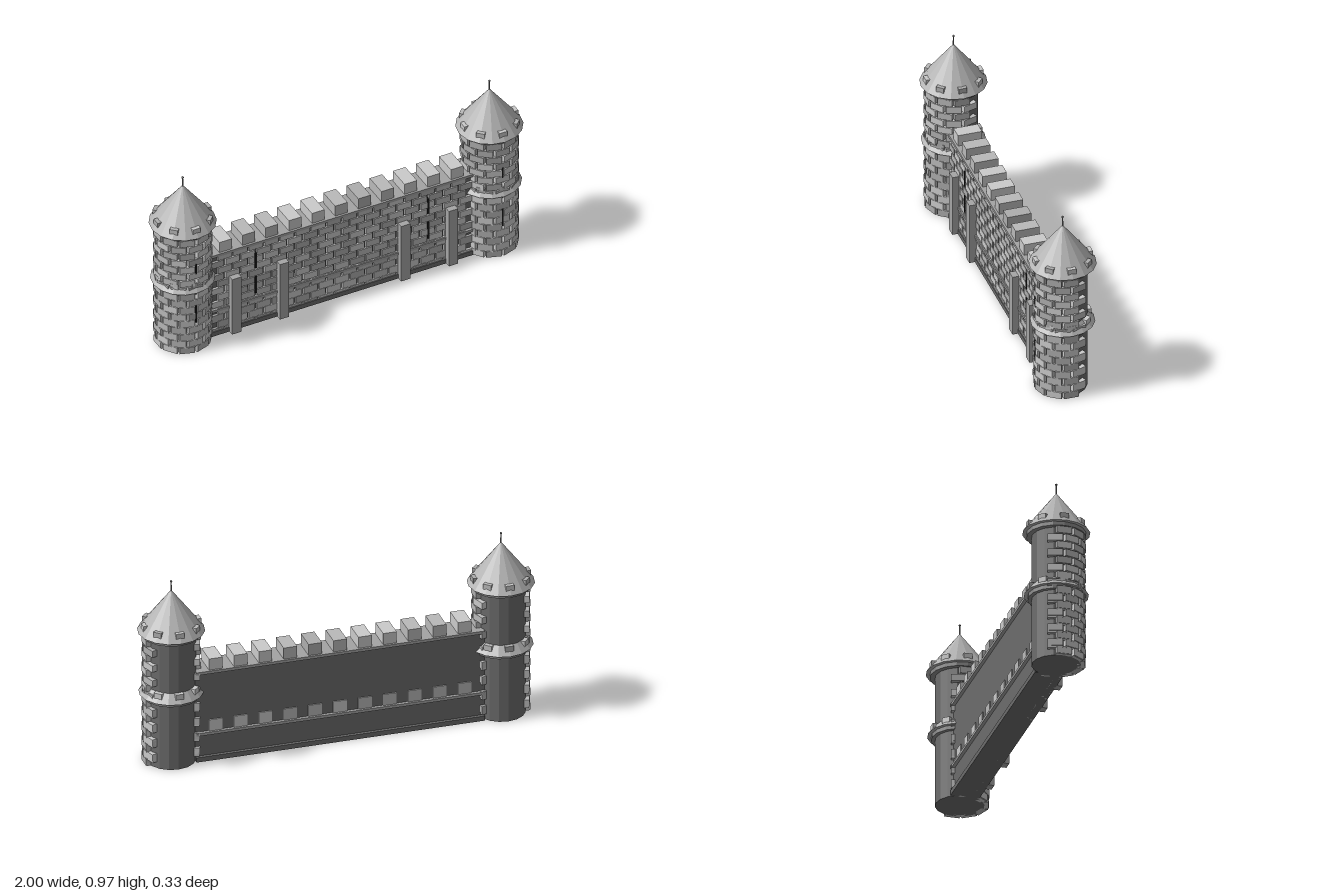
import * as THREE from 'three';
import { mergeGeometries } from 'three/addons/utils/BufferGeometryUtils.js';

const paint = (color) => new THREE.MeshStandardMaterial({ color, flatShading: true });
const core = paint(0x6c6c6c), trim = paint(0x8c8c8c), ledge = paint(0xa4a4a4);
const roof = paint(0xb4b4b4), pier = paint(0xa6a6a6), slit = paint(0x1c1c1c);
const stones = [0xaeaeae, 0xbababa, 0xc8c8c8].map(paint);
const ROW = 0.04, BRICK_H = 0.035, BRICK_W = 0.075;

let seed = 7;
const random = () => (seed = (seed * 16807) % 2147483647) / 2147483647;

function add(parent, name, material, geometry, x = 0, y = 0, z = 0) {
  const mesh = new THREE.Mesh(geometry, material);
  mesh.name = name;
  mesh.position.set(x, y, z);
  parent.add(mesh);
}

// Spreads blocks over the stone shades, one mesh per shade
function addStones(parent, name, list) {
  const piles = stones.map(() => []);
  for (const stone of list) piles[Math.floor(random() * piles.length)].push(stone);
  piles.forEach((pile, i) => {
    if (pile.length) add(parent, name, stones[i], mergeGeometries(pile));
  });
}

// Box given by its limits
function block(x0, x1, y0, y1, z0, z1) {
  return new THREE.BoxGeometry(x1 - x0, y1 - y0, z1 - z0)
    .translate((x0 + x1) / 2, (y0 + y1) / 2, (z0 + z1) / 2);
}

// Block standing on a circle, its outer face at radius r, angle from +z
function radialBlock(w, y0, y1, d, r, degrees) {
  return block(-w / 2, w / 2, y0, y1, r - d, r).rotateY(THREE.MathUtils.degToRad(degrees));
}

// Bottom and top of a brick row, kept above the ground
function rowSpan(i, drop) {
  const y = i * ROW + 0.0025 - drop;
  return [Math.max(0, y), y + BRICK_H];
}

// Staggered bricks around the front of a tower
function towerBricks(rows, r, drop) {
  const list = [];
  for (let i = 0; i < rows; i++) {
    const limit = i % 2 ? 108 : 90;
    for (let a = -limit; a <= limit; a += 36)
      list.push(radialBlock(BRICK_W, ...rowSpan(i, drop), 0.035, r, a));
  }
  return list;
}

// Staggered bricks on the wall face
function wallBricks(rows, front, drop) {
  const list = [];
  for (let i = 0; i < rows; i++) {
    for (let x = i % 2 ? -0.6375 : -0.68; x < 0.7; x += 0.085)
      list.push(block(x - BRICK_W / 2, x + BRICK_W / 2, ...rowSpan(i, drop), 0.03, front));
  }
  return list;
}

// Conical roof or skirt with its collar and ring of small blocks
function crown(parent, prefix, y, baseR, topR, h) {
  const collarR = baseR * 0.88, blockR = baseR * 0.89;
  add(parent, prefix + 'Collar', trim, new THREE.CylinderGeometry(collarR, collarR, 0.02, 16), 0, y - 0.01, 0);
  add(parent, prefix + 'Cone', roof, new THREE.CylinderGeometry(topR, baseR, h, 16), 0, y + h / 2, 0);
  const blocks = [];
  for (let a = 0; a < 360; a += 45)
    blocks.push(radialBlock(0.042, y + 0.019, y + 0.047, 0.027, blockR, a));
  addStones(parent, prefix + 'Blocks', blocks);
}

function makeTower(x) {
  const tower = new THREE.Group();
  tower.name = x > 0 ? 'leftTower' : 'rightTower';
  tower.position.x = x;
  add(tower, 'towerCore', core, new THREE.CylinderGeometry(0.12, 0.12, 0.69, 16), 0, 0.345, 0);
  addStones(tower, 'towerBricks', towerBricks(17, 0.139, 0));
  addStones(tower, 'towerInnerBricks', towerBricks(9, 0.136, 0.01));
  crown(tower, 'middleRing', 0.368, 0.158, 0.118, 0.048);
  crown(tower, 'roof', 0.70, 0.165, 0, 0.215);
  // Roof finial
  add(tower, 'finialPole', trim, new THREE.CylinderGeometry(0.003, 0.004, 0.055, 8), 0, 0.93, 0);
  add(tower, 'finialBall', trim, new THREE.SphereGeometry(0.006, 8, 6), 0, 0.96, 0);
  // Arrow slits
  for (const [y0, y1] of [[0.18, 0.28], [0.47, 0.53]])
    add(tower, 'towerSlit', slit, block(-0.004, 0.004, y0, y1, 0.1, 0.141));
  return tower;
}

// Ledge with a row of merlons on top
function parapet(parent, prefix, y) {
  add(parent, prefix + 'Ledge', ledge, block(-0.73, 0.73, y - 0.015, y, -0.077, 0.067));
  const list = [];
  for (let i = -5; i <= 5; i++)
    list.push(block(i * 0.126 - 0.034, i * 0.126 + 0.034, y - 0.005, y + 0.06, -0.066, 0.056));
  addStones(parent, prefix + 'Merlons', list);
}

function makeWall() {
  const wall = new THREE.Group();
  wall.name = 'curtainWall';
  add(wall, 'wallCore', core, block(-0.74, 0.74, 0, 0.48, -0.06, 0.05));
  addStones(wall, 'wallBricks', wallBricks(12, 0.062, 0));
  addStones(wall, 'wallInnerBricks', wallBricks(4, 0.06, 0.01));
  add(wall, 'plinth', core, block(-0.73, 0.73, 0, 0.025, -0.077, 0.067));
  parapet(wall, 'lower', 0.155);
  parapet(wall, 'upper', 0.485);
  for (const s of [-1, 1]) {
    // Buttresses
    for (const x of [0.33, 0.59])
      add(wall, 'buttress', pier, block(s * x - 0.025, s * x + 0.025, 0, 0.33, 0.03, 0.095));
    // Arrow slits
    for (const [y0, y1] of [[0.18, 0.28], [0.33, 0.42]])
      add(wall, 'wallSlit', slit, block(s * 0.47 - 0.005, s * 0.47 + 0.005, y0, y1, 0.03, 0.065));
  }
  return wall;
}

export function createModel() {
  const model = new THREE.Group();
  model.name = 'castleWall';
  model.add(makeWall(), makeTower(0.835), makeTower(-0.835));
  return model;
}
